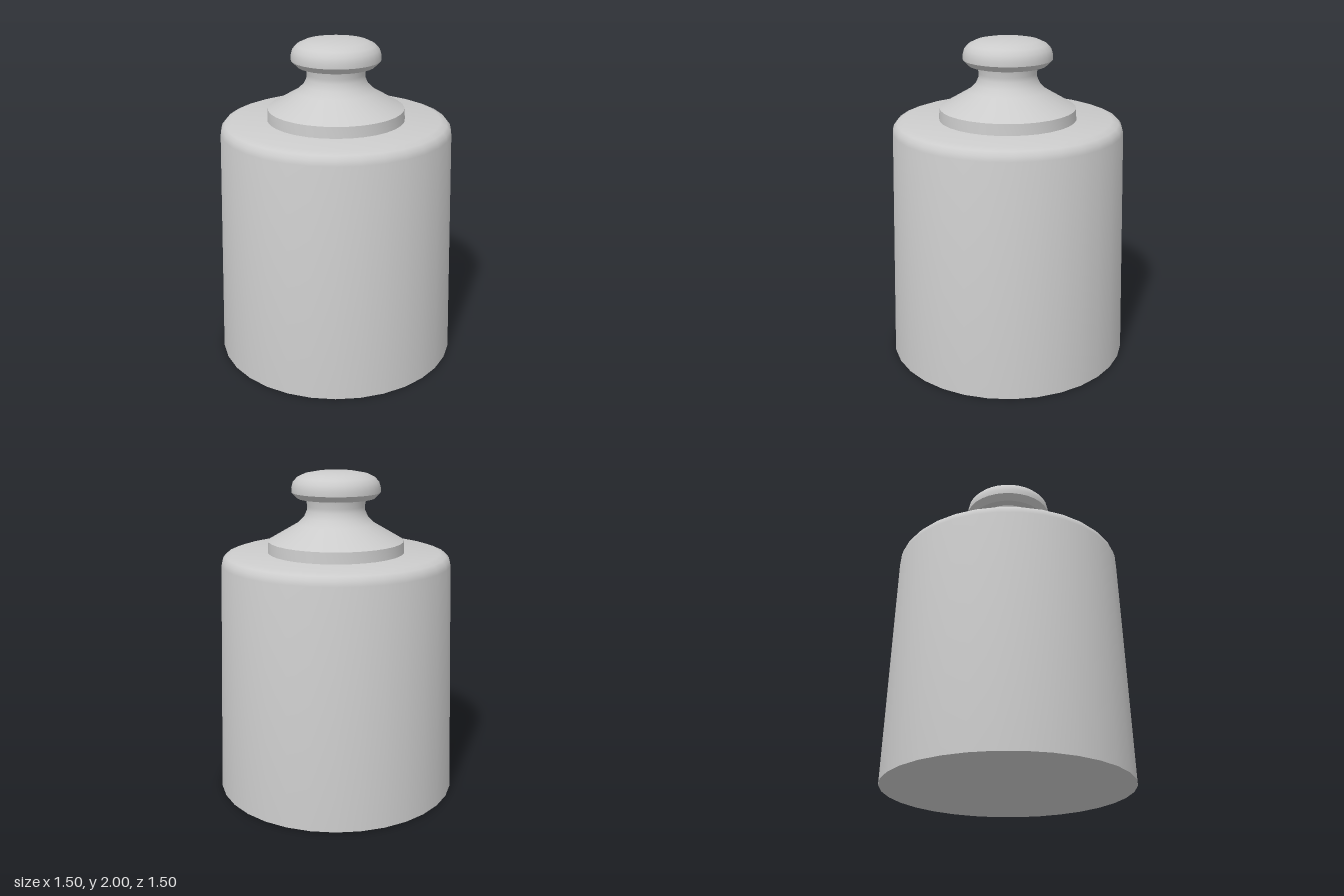
import * as THREE from 'three';
import { toCreasedNormals } from 'three/addons/utils/BufferGeometryUtils.js';

const SIDES = 32;
const material = new THREE.MeshStandardMaterial({ color: 0xcccccc });

// Turned part from a profile of [radius, height] pairs, bottom to top
function turned(name, profile) {
  const points = profile.map(([r, y]) => new THREE.Vector2(r, y));
  const geometry = toCreasedNormals(new THREE.LatheGeometry(points, SIDES), 0.72);
  const mesh = new THREE.Mesh(geometry, material);
  mesh.name = name;
  return mesh;
}

export function createModel() {
  const group = new THREE.Group();
  group.name = 'calibrationWeight';

  // Tapered body with a flat base and a softened shoulder
  group.add(turned('body', [
    [0, 0], [0.75, 0], [0.703, 1.445], [0.695, 1.475],
    [0.675, 1.498], [0.635, 1.512], [0, 1.512],
  ]));

  // Low collar rising through a cone to the waisted neck
  group.add(turned('collarAndNeck', [
    [0.42, 1.505], [0.415, 1.58], [0.235, 1.685], [0.195, 1.725],
    [0.177, 1.765], [0.175, 1.79], [0.185, 1.84],
  ]));

  // Rounded grip knob with a sharp lower rim
  group.add(turned('knob', [
    [0.18, 1.835], [0.235, 1.838], [0.27, 1.873], [0.27, 1.9], [0.26, 1.935],
    [0.235, 1.962], [0.19, 1.983], [0.12, 1.996], [0, 2],
  ]));

  return group;
}
